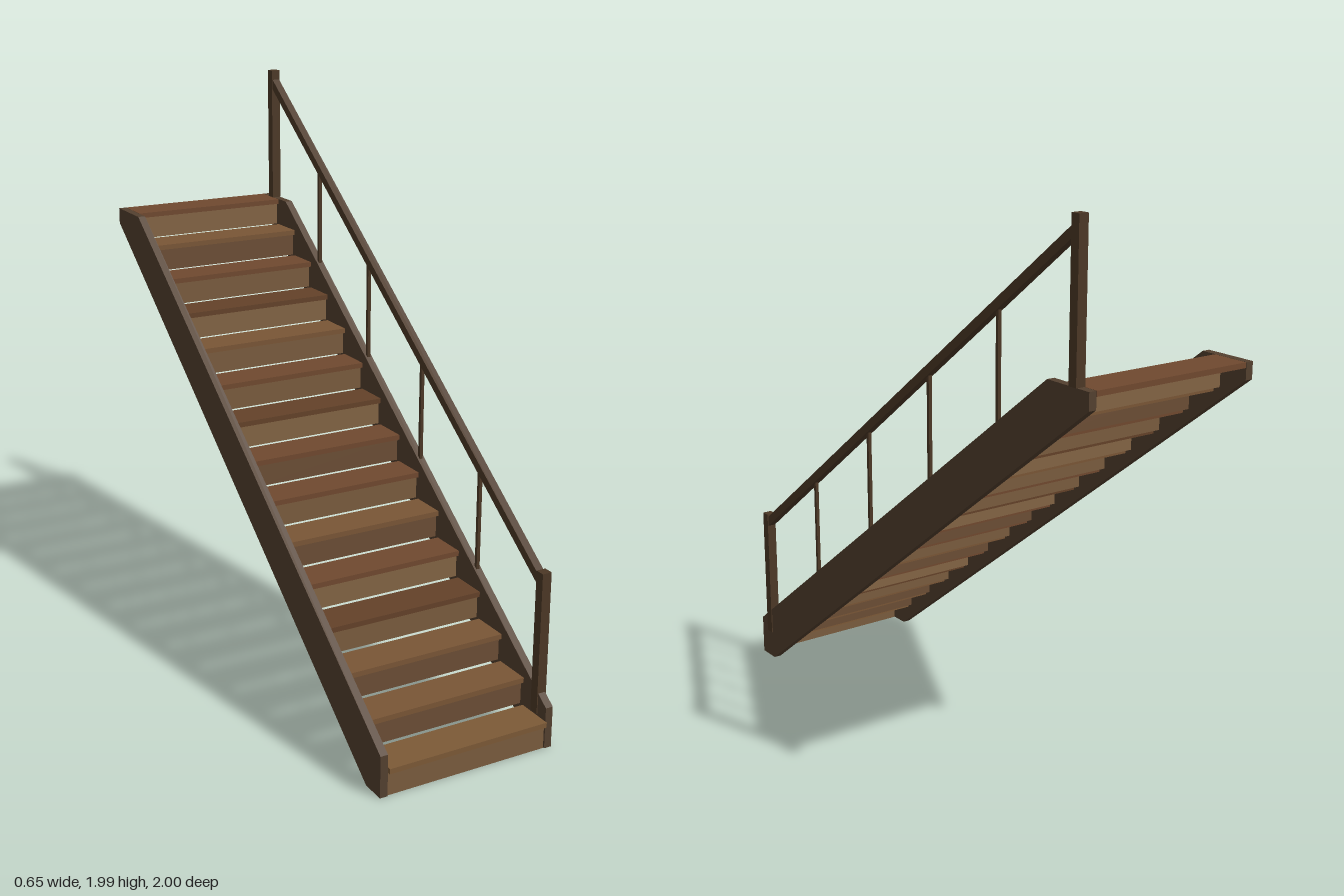
import * as THREE from 'three';

const STEPS = 15;
const RISE = 1.49 / STEPS;
const RUN = 2 / STEPS;
const SLOPE = RISE / RUN;
const SIDE_X = 0.31; // centre of each stringer

const mat = (color) => new THREE.MeshStandardMaterial({ color, side: THREE.DoubleSide });

function box(parent, name, size, pos, material) {
  const mesh = new THREE.Mesh(new THREE.BoxGeometry(...size), material);
  mesh.name = name;
  mesh.position.set(...pos);
  parent.add(mesh);
  return mesh;
}

export function createModel() {
  const model = new THREE.Group();
  model.name = 'staircase';
  const darkWood = mat(0x54402f);
  const railWood = mat(0x4c3826);

  // Treads and risers, with small board-to-board shade changes
  const steps = new THREE.Group();
  steps.name = 'steps';
  model.add(steps);
  const treadWood = [0x7d5a37, 0x7a5636, 0x644229, 0x70492f].map(mat);
  const riserWood = [0x7a5c3e, 0x6c4e35, 0x836444].map(mat);
  const treadShade = [0, 1, 1, 2, 3, 1, 3, 3, 2, 3, 1, 2, 3, 1, 3];
  const riserShade = [0, 1, 1, 0, 2, 1, 0, 1, 2, 0, 0, 2, 0, 1, 2];
  const thick = 0.018, nosing = 0.014, riserDepth = 0.012;
  for (let i = 0; i < STEPS; i++) {
    const front = 1 - i * RUN;
    const top = (i + 1) * RISE;
    box(steps, 'tread', [0.59, thick, RUN], [0, top - thick / 2, front - RUN / 2], treadWood[treadShade[i]]);
    // Risers stand back from the nosing, leaving a slit behind the tread below
    box(steps, 'riser', [0.59, RISE - thick, riserDepth],
      [0, top - thick - (RISE - thick) / 2, front - nosing - riserDepth / 2], riserWood[riserShade[i]]);
  }

  // Stringers: side profile (z, y) extruded across x
  const profile = [[0.99, 0], [0.905, 0], [-1, 1.433], [-1, 1.49], [-0.81, 1.49], [0.99, 0.145]];
  const shape = new THREE.Shape(profile.map(([z, y]) => new THREE.Vector2(-z, y)));
  const width = 0.027;
  const stringerGeo = new THREE.ExtrudeGeometry(shape, { depth: width, bevelEnabled: false });
  stringerGeo.translate(0, 0, -width / 2);
  stringerGeo.rotateY(Math.PI / 2);
  for (const side of [-1, 1]) {
    const stringer = new THREE.Mesh(stringerGeo, darkWood);
    stringer.name = side > 0 ? 'leftStringer' : 'rightStringer';
    stringer.position.x = side * SIDE_X;
    model.add(stringer);
  }

  // Handrail on one side
  const railing = new THREE.Group();
  railing.name = 'railing';
  railing.position.x = SIDE_X;
  model.add(railing);
  const postZ = 0.929, postH = 0.495, postW = 0.034;
  const railY = (z) => 0.56 + (postZ - z) * SLOPE;
  box(railing, 'bottomPost', [postW, postH, postW], [0, 0.105 + postH / 2, postZ], railWood);
  box(railing, 'topPost', [postW, postH, postW], [0, 1.49 + postH / 2, -postZ], railWood);

  const length = 2 * postZ * Math.hypot(1, SLOPE);
  const rail = box(railing, 'handrail', [0.028, 0.03, length], [0, railY(0), 0], railWood);
  rail.rotation.x = Math.atan(SLOPE);

  // Thin balusters from stringer to handrail
  for (let i = 1; i <= 4; i++) {
    const z = postZ - (i * 2 * postZ) / 5;
    const bottom = 0.14 + (0.99 - z) * SLOPE;
    const height = railY(z) - bottom;
    box(railing, 'baluster', [0.012, height, 0.012], [0, bottom + height / 2, z], railWood);
  }
  return model;
}
